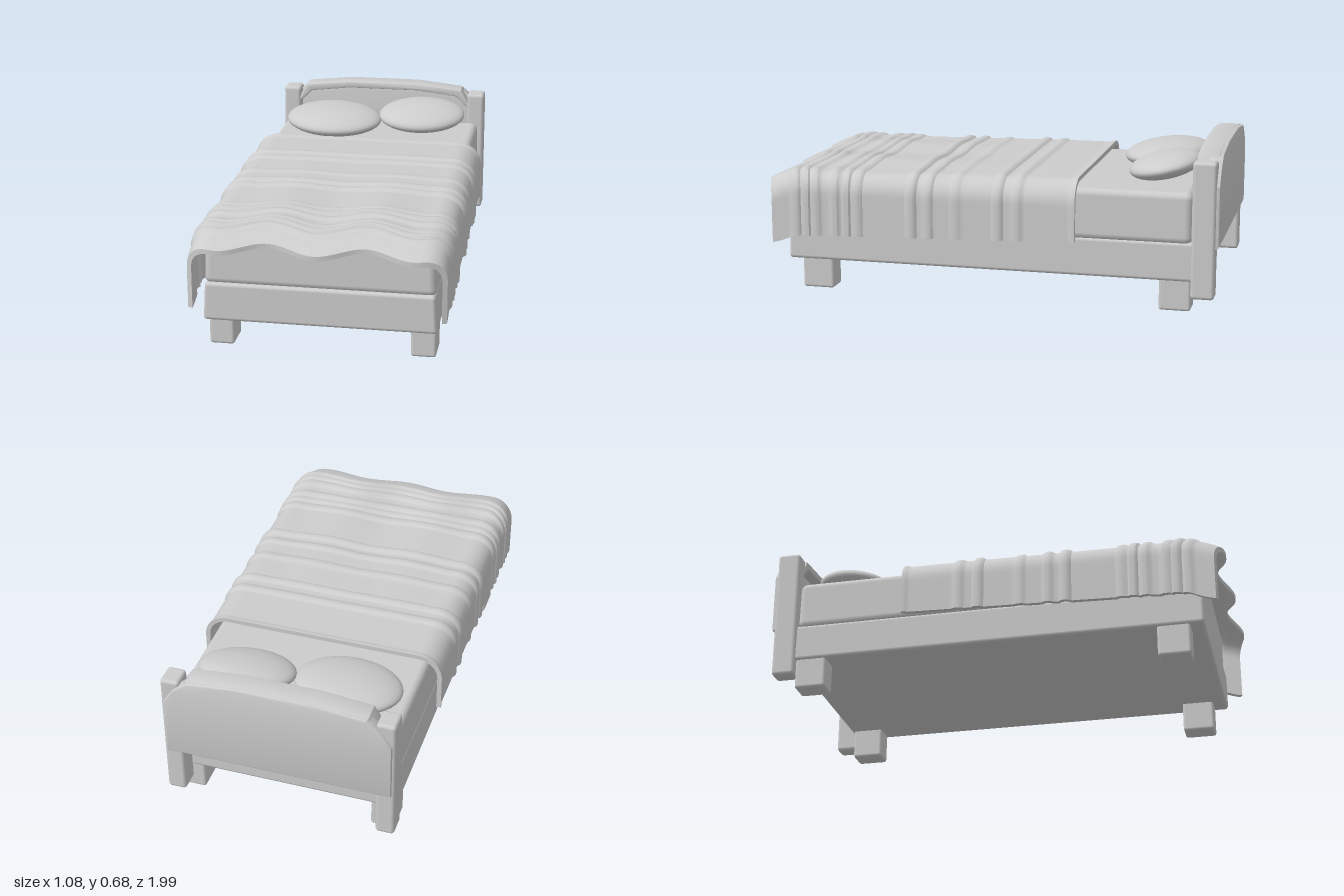
import * as THREE from 'three';
import { toCreasedNormals } from 'three/addons/utils/BufferGeometryUtils.js';
import { RoundedBoxGeometry } from 'three/addons/geometries/RoundedBoxGeometry.js';

const grey = new THREE.MeshStandardMaterial({ color: 0xcccccc });
grey.name = 'soft grey';

function add(group, name, geometry) {
  const mesh = new THREE.Mesh(geometry, grey);
  mesh.name = name;
  group.add(mesh);
  return mesh;
}

// Rounded block given by its limits on each axis
function block(group, name, [x0, x1], [y0, y1], [z0, z1], radius, taper = 0) {
  const g = new RoundedBoxGeometry(x1 - x0, y1 - y0, z1 - z0, 2, radius);
  const p = g.attributes.position;
  for (let i = 0; i < p.count; i++) {
    const k = 1 - taper * (p.getY(i) / (y1 - y0) + 0.5);
    p.setX(i, p.getX(i) * k);
  }
  const mesh = add(group, name, g);
  mesh.position.set((x0 + x1) / 2, (y0 + y1) / 2, (z0 + z1) / 2);
}

// Bevelled board from an outline, spanning z0..z1
function board(group, name, points, z0, z1, bevel) {
  const shape = new THREE.Shape(points.map(([x, y]) => new THREE.Vector2(x, y)));
  const g = new THREE.ExtrudeGeometry(shape, {
    depth: z1 - z0 - 2 * bevel, bevelEnabled: true, bevelSize: bevel,
    bevelThickness: bevel, bevelOffset: -bevel, bevelSegments: 2,
  });
  g.translate(0, 0, z0 + bevel);
  add(group, name, toCreasedNormals(g, 0.5));
}

// Right half of an arch mirrored into a full left-to-right line
const mirrored = (half) => [...half.map(([x, y]) => [-x, y]).reverse(), ...half];

// Blanket: folds run across the bed, ripples grow towards the foot
const FOLDS = [[-0.4, 0.006], [-0.15, 0.009], [-0.065, 0.011], [0.12, 0.007], [0.24, 0.01],
  [0.315, 0.012], [0.56, 0.009], [0.61, 0.012], [0.665, 0.01], [0.755, 0.01], [0.8, 0.012], [0.85, 0.009]];

function foldHeight(s) {
  let h = 0;
  for (const [z, a] of FOLDS) h = Math.max(h, a * Math.max(0, 1 - (Math.abs(s - z) / 0.024) ** 4));
  return h;
}

function blanketLine(s, offset) {
  const { smoothstep, lerp } = THREE.MathUtils;
  const ripple = smoothstep(s, -0.3, 0.95);
  const end = Math.max(0, (s - 0.8) / 0.16);
  const top = 0.533 + 0.007 * smoothstep(-s, -0.6, 0.4) - 0.046 * end ** 2 + offset;
  const hem = lerp(0.285, 0.245, (s + 0.4) / 1.3) - 0.035 * smoothstep(s, 0.82, 0.97);
  const w = 0.53 + offset, r = 0.1 + offset;
  const line = [];
  for (let i = 0; i <= 10; i++) line.push([w, hem + (top - r - hem) * (i / 10)]);
  for (let i = 1; i <= 10; i++) {
    const a = (i / 10) * Math.PI / 2;
    line.push([w - r + r * Math.cos(a), top - r + r * Math.sin(a)]);
  }
  for (let i = 1; i <= 20; i++) line.push([(w - r) * (1 - i / 20), top]);
  const full = [...line.map(([x, y]) => [-x, y]), ...line.slice(0, -1).reverse()];
  return full.map(([x, y]) => {
    const c = Math.cos(x * Math.PI / 0.2);
    const lift = smoothstep(y, hem, top);
    return [x, y - 0.011 * c * ripple * lift, s + 0.028 * c * smoothstep(s, 0.4, 0.95)];
  });
}

function blanketGeometry() {
  const rows = 150, pos = [], index = [];
  let n = 0;
  for (let i = 0; i <= rows; i++) {
    const s = -0.4 + 1.36 * i / rows, f = foldHeight(s);
    const outer = blanketLine(s, f), inner = blanketLine(s, f - 0.02).reverse();
    n = outer.length;
    for (const p of [...outer, ...inner]) pos.push(...p);
  }
  const ring = 2 * n;
  for (let i = 0; i < rows; i++) {
    for (let j = 0; j < ring; j++) {
      const k = (j + 1) % ring;
      const a = i * ring + j, b = i * ring + k, c = b + ring, d = a + ring;
      index.push(a, d, c, a, c, b);
    }
  }
  // Close the head and foot edges
  for (let j = 0; j < n - 1; j++) {
    const a = j, b = j + 1, c = ring - 2 - j, d = ring - 1 - j, e = rows * ring;
    index.push(d, a, b, d, b, c, e + d, e + b, e + a, e + d, e + c, e + b);
  }
  const g = new THREE.BufferGeometry();
  g.setAttribute('position', new THREE.Float32BufferAttribute(pos, 3));
  g.setIndex(index);
  return toCreasedNormals(g, 0.6);
}

export function createModel() {
  const bed = new THREE.Group();
  bed.name = 'bed';

  // Frame and mattress
  block(bed, 'bedFrame', [-0.485, 0.485], [0.13, 0.295], [-0.9, 0.89], 0.015, 0.02);
  block(bed, 'mattress', [-0.48, 0.48], [0.285, 0.505], [-0.885, 0.88], 0.03, 0.015);

  // Legs and headboard posts
  for (const side of [-1, 1]) {
    const span = (a, b) => (side < 0 ? [-b, -a] : [a, b]);
    block(bed, 'frontLeg', span(0.37, 0.475), [0, 0.15], [0.69, 0.83], 0.012);
    block(bed, 'backLeg', span(0.37, 0.475), [0, 0.15], [-0.885, -0.75], 0.012);
    block(bed, 'headboardPost', span(0.418, 0.5), [0.06, 0.643], [-0.985, -0.885], 0.015);
  }

  // Headboard panel with a raised arched rim
  const arch = mirrored([[0.17, 0.68], [0.38, 0.657], [0.44, 0.61], [0.487, 0.54], [0.487, 0.28]]);
  board(bed, 'headboardPanel', arch.reverse(), -1, -0.94, 0.008);
  const rimTop = mirrored([[0.17, 0.682], [0.385, 0.66], [0.41, 0.62], [0.432, 0.575]]);
  const rimInner = mirrored([[0.17, 0.65], [0.36, 0.628], [0.39, 0.598], [0.42, 0.572]]);
  board(bed, 'headboardRim', [...rimInner, ...rimTop.reverse()], -0.985, -0.89, 0.008);

  // Pillows: plump ellipsoids tilted up towards the headboard
  for (const [name, x, y, z, rx, ry, rz, tilt] of [
    ['rightPillow', -0.21, 0.553, -0.68, 0.232, 0.058, 0.188, 0.1],
    ['leftPillow', 0.213, 0.575, -0.732, 0.207, 0.056, 0.158, 0.2],
  ]) {
    const pillow = add(bed, name, new THREE.SphereGeometry(1, 40, 24));
    pillow.scale.set(rx, ry, rz);
    pillow.position.set(x, y, z);
    pillow.rotation.set(tilt, x < 0 ? -0.12 : 0.08, 0);
  }

  add(bed, 'blanket', blanketGeometry());
  return bed;
}
